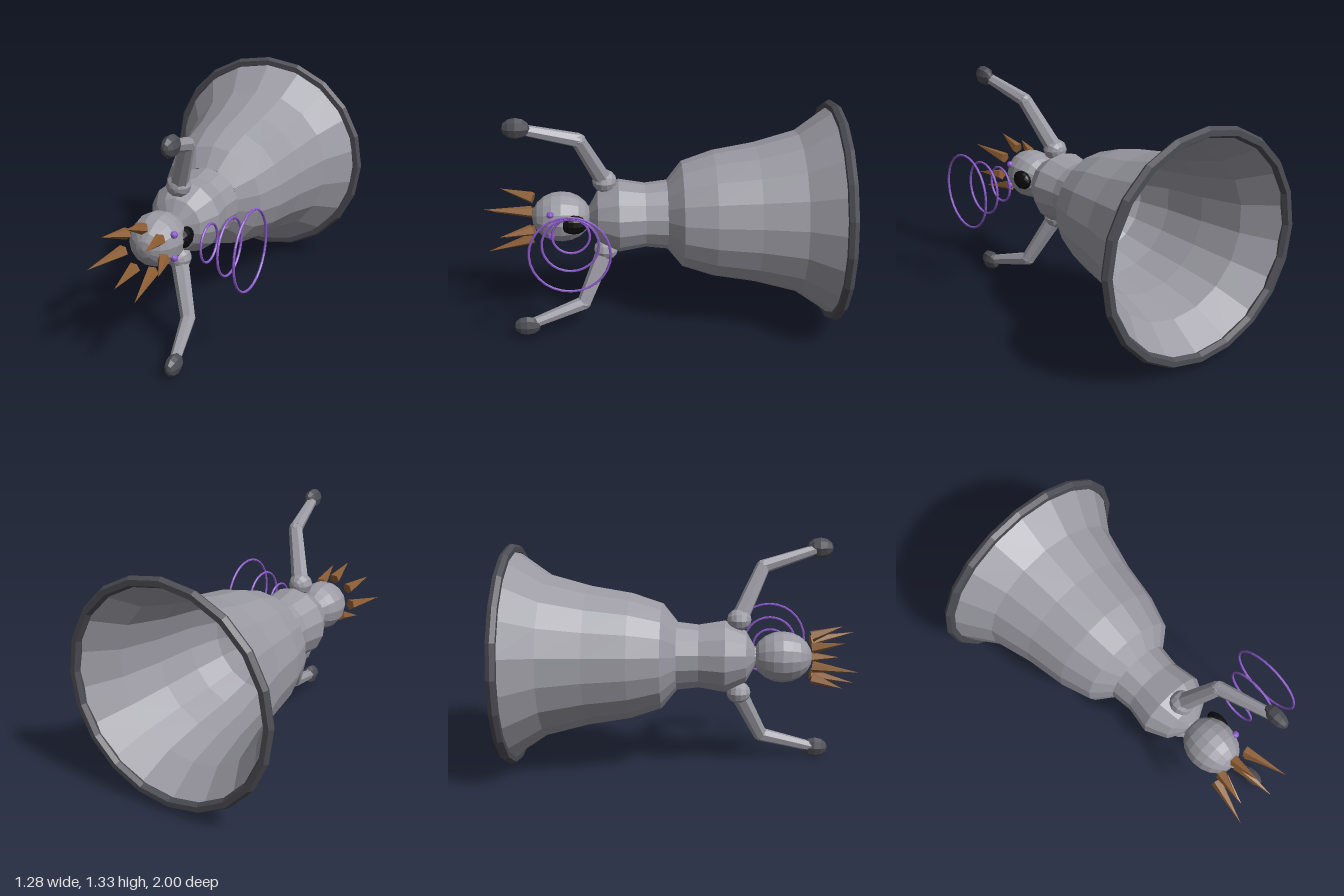
import * as THREE from 'three';

const material = (color, side = THREE.FrontSide) =>
  new THREE.MeshStandardMaterial({ color, side, flatShading: true });

export function createModel() {
  const root = new THREE.Group();
  // The figure is built upright along y, then laid down so its head points to +z
  const figure = new THREE.Group();
  figure.name = 'figure';
  figure.rotation.x = Math.PI / 2;
  figure.position.y = 0.668;
  root.add(figure);

  const grey = material(0x9b9aa3);
  const greyOpen = material(0x9b9aa3, THREE.DoubleSide);
  const dark = material(0x4c4c54);
  const black = material(0x0c0c0e);
  const purple = material(0x8a58c8);
  const brown = material(0x8f5f35);

  const add = (name, geometry, mat, x = 0, y = 0, z = 0) => {
    const mesh = new THREE.Mesh(geometry, mat);
    mesh.name = name;
    mesh.position.set(x, y, z);
    figure.add(mesh);
    return mesh;
  };
  const ellipsoid = (rx, ry, rz, w, h) => new THREE.SphereGeometry(1, w, h).scale(rx, ry, rz);
  const lathe = (profile, sides) =>
    new THREE.LatheGeometry(profile.map(([r, y]) => new THREE.Vector2(r, y)), sides);
  // Tapered limb between two points
  const limb = (name, a, b, ra, rb, sides, mat) => {
    const dir = b.clone().sub(a);
    const mesh = add(name, new THREE.CylinderGeometry(rb, ra, dir.length(), sides), mat);
    mesh.position.copy(a).add(b).multiplyScalar(0.5);
    mesh.quaternion.setFromUnitVectors(new THREE.Vector3(0, 1, 0), dir.normalize());
  };

  // Flared hollow skirt with a dark hem
  add('skirt', lathe([[0.61, -0.974], [0.47, -0.77], [0.405, -0.53], [0.365, -0.29],
    [0.305, -0.11], [0.2, -0.025]], 18), greyOpen);
  add('hem', new THREE.TorusGeometry(0.612, 0.03, 6, 20).rotateX(Math.PI / 2), dark, 0, -0.972, 0);

  // Torso and head
  add('torso', lathe([[0, -0.03], [0.2, -0.03], [0.185, 0.1], [0.21, 0.25],
    [0.15, 0.37], [0.06, 0.42], [0.05, 0.46]], 14), greyOpen);
  add('head', ellipsoid(0.147, 0.17, 0.147, 14, 10), grey, 0, 0.58, 0);

  // Face, turned to +x
  add('mouth', ellipsoid(0.04, 0.075, 0.058, 12, 8), black, 0.122, 0.508, 0);
  for (const s of [-1, 1]) add('eye', ellipsoid(0.021, 0.021, 0.021, 8, 6), purple, 0.125, 0.638, s * 0.066);

  // Growing sound rings in front of the mouth
  for (const [x, r] of [[0.27, 0.104], [0.387, 0.155], [0.503, 0.217]]) {
    add('soundRing', new THREE.TorusGeometry(r, 0.007, 6, 28).rotateY(Math.PI / 2), purple, x, 0.52, 0);
  }

  // Raised arms, mirrored
  for (const s of [-1, 1]) {
    const shoulder = new THREE.Vector3(0, 0.33, s * 0.215);
    const elbow = new THREE.Vector3(0.118, 0.465, s * 0.505);
    const wrist = new THREE.Vector3(0.188, 0.78, s * 0.6);
    add('shoulder', ellipsoid(0.07, 0.07, 0.065, 10, 7), grey, ...shoulder);
    limb('upperArm', shoulder, elbow, 0.052, 0.042, 7, grey);
    add('elbow', ellipsoid(0.041, 0.041, 0.041, 8, 6), grey, ...elbow);
    limb('forearm', elbow, wrist, 0.041, 0.03, 7, grey);
    add('hand', ellipsoid(0.042, 0.077, 0.06, 8, 6), dark, 0.193, 0.795, s * 0.605);
  }

  // Crown of seven spikes, alternating short and long
  for (let i = 0; i < 7; i++) {
    const a = (i / 7) * Math.PI * 2;
    const long = i % 2 === 1;
    const at = (r, y) => new THREE.Vector3(Math.sin(a) * r, y, -Math.cos(a) * r);
    limb('hairSpike', at(0.122, 0.745), at(long ? 0.19 : 0.182, long ? 1 : 0.92), 0.034, 0, 5, brown);
  }
  return root;
}
